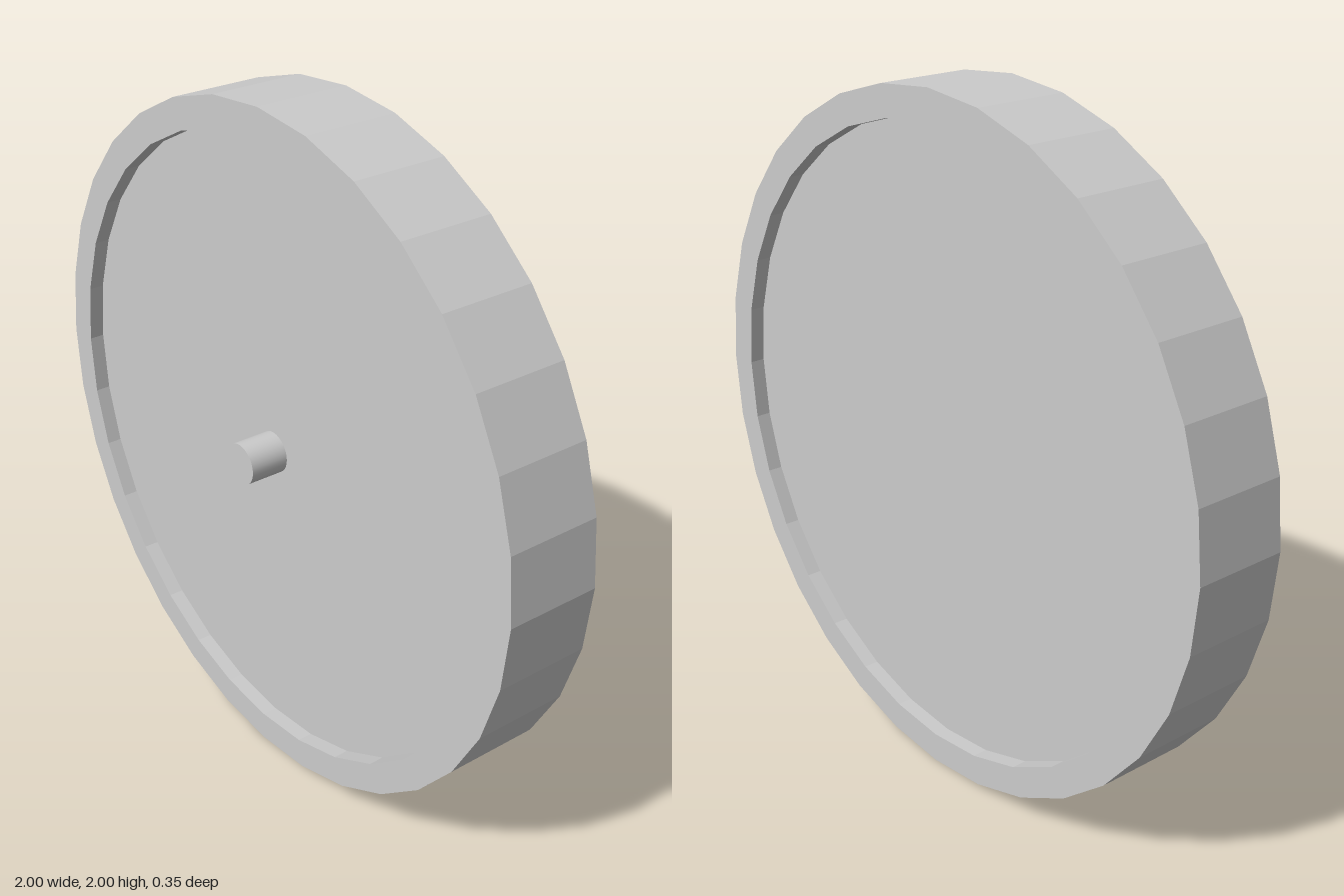
import * as THREE from 'three';

const SIDES = 32;

export function createModel() {
  const model = new THREE.Group();
  const flat = new THREE.MeshStandardMaterial({ color: 0xcccccc, flatShading: true });
  const smooth = new THREE.MeshStandardMaterial({ color: 0xcccccc });

  // Disc along z (back to front), centred at the given height of 1
  const add = (name, geometry, material, z = 0) => {
    const mesh = new THREE.Mesh(geometry.rotateX(Math.PI / 2), material);
    mesh.name = name;
    mesh.position.set(0, 1, z);
    model.add(mesh);
  };

  // Faceted wheel: raised rim with a recessed web on both faces
  const back = -0.175, front = 0.105, recess = 0.045, inner = 0.91;
  const profile = [
    [0, back + recess], [inner, back + recess], [inner, back], [1, back],
    [1, front], [inner, front], [inner, front - recess], [0, front - recess],
  ].map(([r, h]) => new THREE.Vector2(r, h));
  add('wheel', new THREE.LatheGeometry(profile, SIDES), flat);

  // Smooth axle pin standing on the front web
  const pinBase = front - recess, pinTip = 0.175;
  add('axlePin', new THREE.CylinderGeometry(0.06, 0.06, pinTip - pinBase, SIDES), smooth, (pinBase + pinTip) / 2);

  return model;
}
